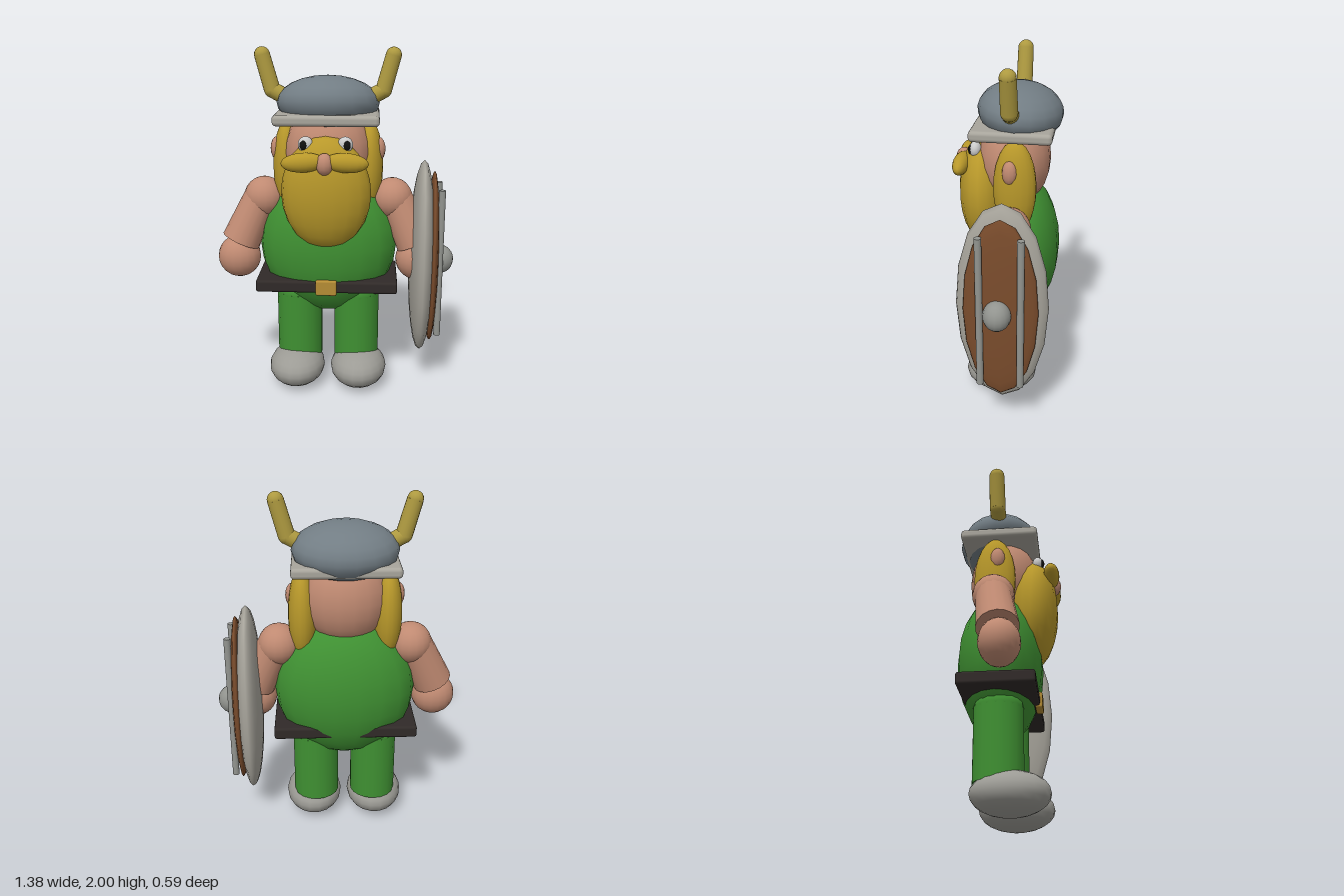
import * as THREE from 'three';
import { RoundedBoxGeometry } from 'three/addons/geometries/RoundedBoxGeometry.js';

const mat = (color) => new THREE.MeshStandardMaterial({ color });
const M = {
  skin: mat(0xc08a72), green: mat(0x3f9032), hair: mat(0xb8982a), horn: mat(0xae9a40),
  helmet: mat(0x727d84), trim: mat(0xa8a59c), shoe: mat(0x9c9b95), belt: mat(0x302a28),
  buckle: mat(0xb58c34), wood: mat(0x7a4c2c), metal: mat(0x92948f), white: mat(0xdedede), black: mat(0x101010),
};

export function createModel() {
  const model = new THREE.Group();
  model.name = 'warrior';
  // The figure stands slightly off centre because of the shield.
  const body = new THREE.Group();
  body.name = 'figure';
  body.position.x = -0.045;
  model.add(body);

  const add = (parent, name, geometry, material, pos) => {
    const mesh = new THREE.Mesh(geometry, material);
    mesh.name = name;
    mesh.position.set(...pos);
    parent.add(mesh);
    return mesh;
  };
  const ball = (parent, name, material, pos, radii, w = 18, h = 12) => {
    const mesh = add(parent, name, new THREE.SphereGeometry(1, w, h), material, pos);
    mesh.scale.set(...radii);
    return mesh;
  };
  const box = (parent, name, material, pos, size, r) =>
    add(parent, name, new RoundedBoxGeometry(...size, 2, r), material, pos);
  // Cylinder between two points
  const rod = (parent, name, material, a, b, ra, rb = ra) => {
    const p = new THREE.Vector3(...a), q = new THREE.Vector3(...b);
    const d = q.clone().sub(p);
    const mid = p.clone().add(q).multiplyScalar(0.5);
    const mesh = add(parent, name, new THREE.CylinderGeometry(rb, ra, d.length(), 18), material, mid.toArray());
    mesh.quaternion.setFromUnitVectors(new THREE.Vector3(0, 1, 0), d.normalize());
    return mesh;
  };

  // Torso and belt
  ball(body, 'torso', M.green, [0, 0.88, -0.06], [0.4, 0.42, 0.24]);
  box(body, 'belt', M.belt, [0, 0.67, -0.045], [0.81, 0.07, 0.41], 0.015);
  box(body, 'buckle', M.buckle, [0, 0.67, 0.155], [0.12, 0.09, 0.04], 0.01);

  // Head and face
  ball(body, 'head', M.skin, [0, 1.42, -0.035], [0.245, 0.27, 0.205]);
  const beard = ball(body, 'beard', M.hair, [0, 1.217, 0.13], [0.25, 0.322, 0.142]);
  beard.rotation.x = 0.04;
  ball(body, 'nose', M.skin, [0, 1.405, 0.25], [0.048, 0.06, 0.045], 12, 8);

  // Helmet with square brim
  ball(body, 'helmet', M.helmet, [0, 1.695, -0.07], [0.29, 0.15, 0.235]).rotation.x = -0.12;
  box(body, 'helmetBrim', M.trim, [0, 1.62, -0.047], [0.58, 0.06, 0.44], 0.022);

  // Paired parts
  for (const s of [-1, 1]) {
    const side = s > 0 ? 'left' : 'right';
    const name = (n) => side + n;

    ball(body, name('Eye'), M.white, [s * 0.107, 1.495, 0.165], [0.042, 0.045, 0.033], 14, 10);
    ball(body, name('Pupil'), M.black, [s * 0.117, 1.495, 0.19], [0.02, 0.026, 0.014], 12, 8);
    ball(body, name('Moustache'), M.hair, [s * 0.115, 1.412, 0.243], [0.12, 0.053, 0.046]).rotation.z = -s * 0.06;
    ball(body, name('Hair'), M.hair, [s * 0.235, 1.33, -0.07], [0.08, 0.265, 0.117]);
    ball(body, name('Ear'), M.skin, [s * 0.29, 1.435, -0.05], [0.037, 0.068, 0.042], 12, 8);

    // Bent horn
    const z = -0.05, elbow = [s * 0.31, 1.765, z], tip = [s * 0.362, 1.955, z];
    rod(body, name('HornBase'), M.horn, [s * 0.19, 1.7, z], elbow, 0.045);
    ball(body, name('HornElbow'), M.horn, elbow, [0.046, 0.046, 0.046], 14, 10);
    rod(body, name('Horn'), M.horn, elbow, tip, 0.046, 0.044);
    ball(body, name('HornTip'), M.horn, tip, [0.044, 0.044, 0.044], 14, 10);

    // Arm
    ball(body, name('Shoulder'), M.skin, [s * 0.37, 1.15, -0.06], [0.118, 0.118, 0.115]);
    rod(body, name('Arm'), M.skin, [s * 0.385, 1.165, -0.06], [s * 0.51, 0.89, -0.02], 0.095, 0.113);
    ball(body, name('Hand'), M.skin, [s * 0.52, 0.8, -0.01], [0.125, 0.125, 0.11]);

    // Leg
    rod(body, name('Leg'), M.green, [s * 0.17, 0.175, -0.052], [s * 0.17, 0.58, -0.052], 0.134);
    ball(body, name('Hip'), M.green, [s * 0.17, 0.58, -0.052], [0.134, 0.1, 0.134]);
    ball(body, name('Shoe'), M.shoe, [s * 0.185, 0.121, 0.012], [0.166, 0.117, 0.21]);
  }

  // Oval shield on the left arm
  const shield = new THREE.Group();
  shield.name = 'shield';
  shield.position.set(0.505, 0.79, -0.048);
  model.add(shield);
  const disc = (name, material, x, [rx, ry, rz]) => {
    const geometry = new THREE.SphereGeometry(1, 16, 12).rotateZ(-Math.PI / 2).scale(rx, ry, rz);
    add(shield, name, geometry, material, [x, 0, 0]);
  };
  disc('shieldRim', M.trim, 0, [0.076, 0.586, 0.248]);
  disc('shieldBoard', M.wood, 0.06, [0.038, 0.525, 0.2]);
  for (const z of [0.107, -0.11]) {
    rod(shield, 'shieldBar', M.metal, [0.097, -0.44, z], [0.097, 0.435, z], 0.019);
  }
  ball(shield, 'shieldBoss', M.metal, [0.105, 0, 0.012], [0.079, 0.084, 0.075], 16, 12);

  return model;
}
